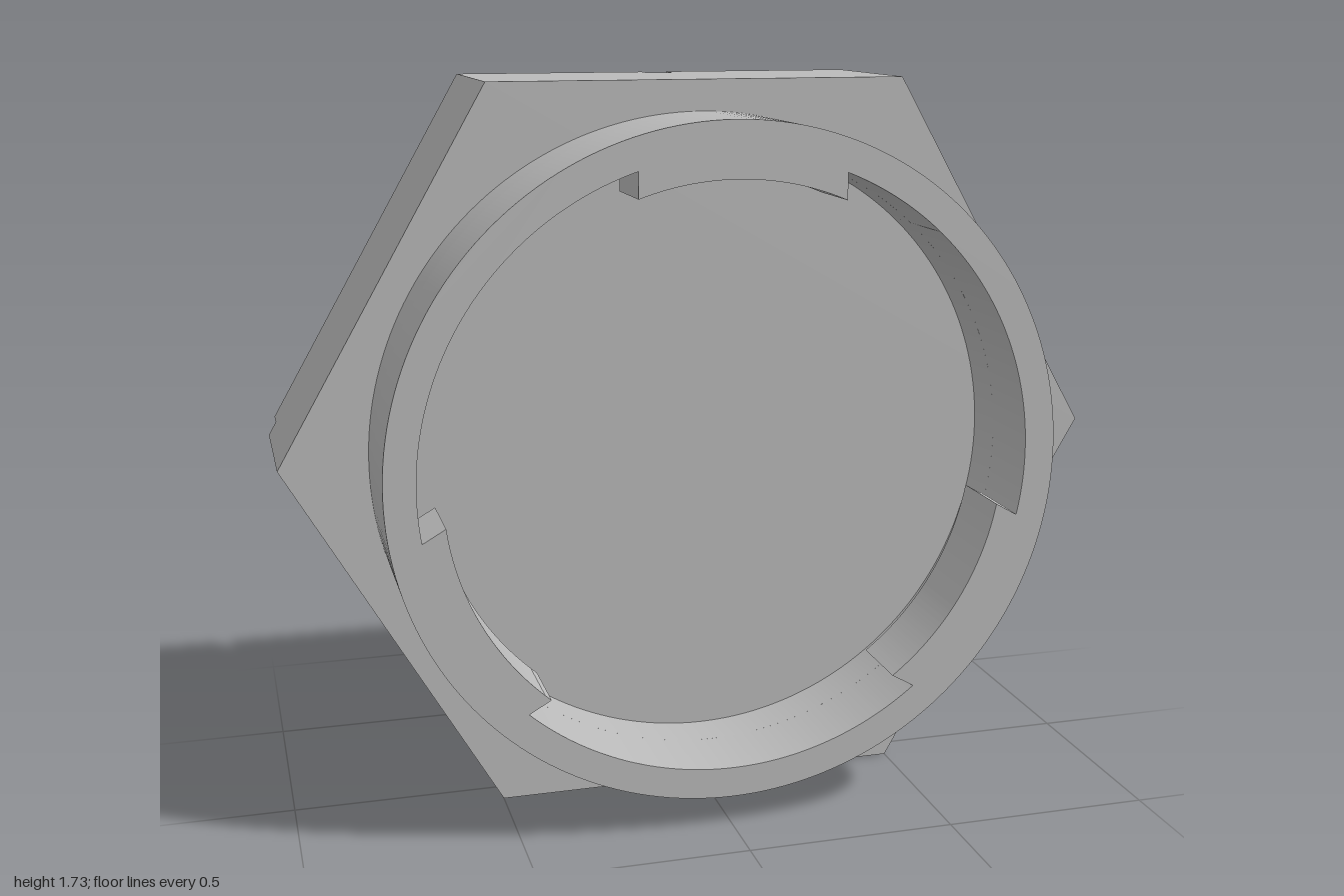
import * as THREE from 'three';
import { toCreasedNormals } from 'three/addons/utils/BufferGeometryUtils.js';

const CY = Math.sqrt(3) / 2; // height of the plug's axis
const H = CY;                // hexagon apothem
const BACK = -0.36, SLOT = -0.30, FACE = 0.07, TAB = 0.18, FRONT = 0.36;

export function createModel() {
  const group = new THREE.Group();
  const metal = new THREE.MeshStandardMaterial({ color: 0xbababa });
  metal.name = 'grey metal';

  // Extrude a shape along the axis from z0 to z1
  function slab(name, shape, z0, z1) {
    const extruded = new THREE.ExtrudeGeometry(shape, {
      depth: z1 - z0, bevelEnabled: false, curveSegments: 96,
    });
    const mesh = new THREE.Mesh(toCreasedNormals(extruded, 0.4), metal);
    mesh.name = name;
    mesh.position.set(0, CY, z0);
    group.add(mesh);
  }
  const polygon = (pts) => new THREE.Shape(pts.map(([x, y]) => new THREE.Vector2(x, y)));

  // Hexagonal head
  slab('hexHead', polygon([[1, 0], [0.5, H], [-0.5, H], [-1, 0], [-0.5, -H], [0.5, -H]]), SLOT, FACE);

  // Raised back pads, leaving a vertical slot and a side slot between them
  const s = 0.032, tip = -1 + s / Math.sqrt(3);
  slab('backPadLeft', polygon([[s, -H], [0.5, -H], [1, 0], [0.5, H], [s, H]]), BACK, SLOT);
  slab('backPadUpper', polygon([[-s, s], [-s, H], [-0.5, H], [tip, s]]), BACK, SLOT);
  slab('backPadLower', polygon([[-s, -s], [tip, -s], [-0.5, -H], [-s, -H]]), BACK, SLOT);

  // Collar: plain wall at the rear, three locking tabs at the front
  const outer = 0.793, bore = 0.72, tabR = 0.663;
  function disc() {
    const shape = new THREE.Shape();
    shape.absarc(0, 0, outer, 0, Math.PI * 2, false);
    return shape;
  }
  const wall = disc();
  wall.holes.push(new THREE.Path().absarc(0, 0, bore, 0, Math.PI * 2, true));
  slab('collarWall', wall, FACE, TAB);

  const tabbed = disc();
  const hole = new THREE.Path();
  const right = 0.26, left = -0.22, third = Math.PI * 2 / 3;
  for (let k = 0; k < 3; k++) {
    const a = k * third;
    hole.absarc(0, 0, tabR, a + Math.acos(right / tabR), a + Math.acos(left / tabR), false);
    hole.absarc(0, 0, bore, a + Math.acos(left / bore), a + third + Math.acos(right / bore), false);
  }
  hole.closePath();
  tabbed.holes.push(hole);
  slab('collarTabs', tabbed, TAB, FRONT);

  return group;
}
